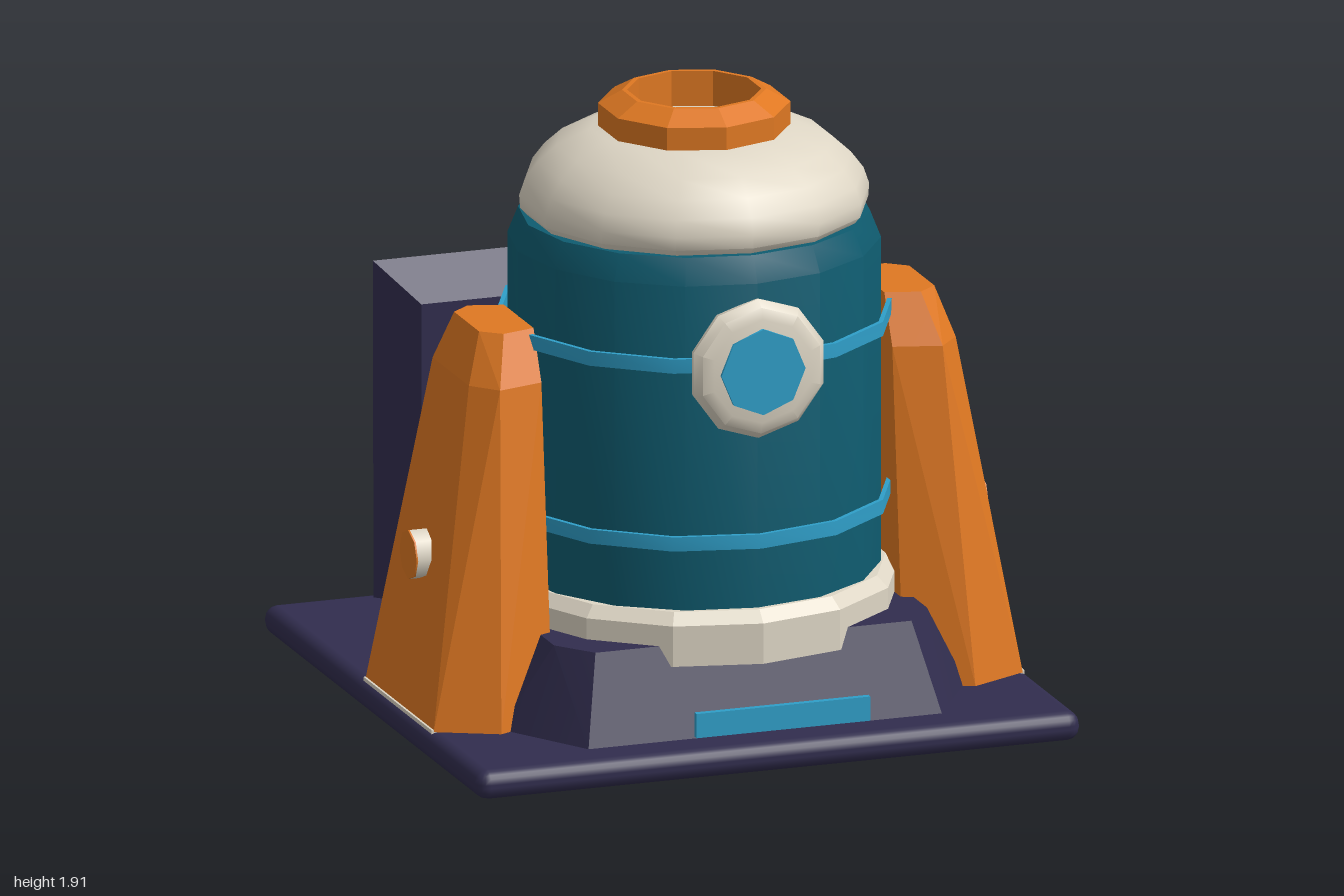
import * as THREE from 'three';
import { toCreasedNormals } from 'three/addons/utils/BufferGeometryUtils.js';
import { RoundedBoxGeometry } from 'three/addons/geometries/RoundedBoxGeometry.js';
import { ConvexGeometry } from 'three/addons/geometries/ConvexGeometry.js';

const AXIS_Z = 0.2125; // centre of the round body along z

function material(name, color) {
  const m = new THREE.MeshStandardMaterial({ color });
  m.name = name;
  return m;
}

export function createModel() {
  const model = new THREE.Group();
  model.name = 'capsuleMachine';
  const navy = material('navy', 0x312d4e);
  const orange = material('orange', 0xdf7822);
  const teal = material('teal', 0x0f5c70);
  const cream = material('cream', 0xded6c5);
  const blue = material('blue', 0x2f9fc9);

  function add(name, geometry, mat, x = 0, y = 0, z = 0, parent = model) {
    const mesh = new THREE.Mesh(geometry, mat);
    mesh.name = name;
    mesh.position.set(x, y, z);
    parent.add(mesh);
    return mesh;
  }
  // Turned part from [radius, y] pairs; crease sets which edges stay sharp
  const turned = (profile, sides, crease = 0.5) =>
    toCreasedNormals(new THREE.LatheGeometry(profile.map(p => new THREE.Vector2(...p)), sides), crease);
  // Faceted solid around a set of corner points
  const solid = (points, crease = 0.01) =>
    toCreasedNormals(new ConvexGeometry(points.map(p => new THREE.Vector3(...p))), crease);

  // Base slab and the sloping mound under the body
  add('baseSlab', new RoundedBoxGeometry(1.91, 0.09, 1.915, 2, 0.04), navy, 0, 0.045, 0.0175);
  const mound = [];
  for (const s of [-1, 1]) {
    mound.push([s * 0.56, 0.085, 0.84], [s * 0.74, 0.085, 0.55], [s * 0.74, 0.085, -0.46], [s * 0.6, 0.085, -0.64]);
    mound.push([s * 0.5, 0.355, 0.735], [s * 0.59, 0.355, 0.62], [s * 0.59, 0.355, -0.2], [s * 0.5, 0.355, -0.31]);
  }
  add('mound', solid(mound, 0.6), navy);
  add('frontPlate', new THREE.BoxGeometry(0.55, 0.075, 0.02), blue, 0, 0.178, 0.99);

  // Bevelled back panel
  const panel = [];
  for (const s of [-1, 1]) {
    for (const z of [-1, -0.77]) panel.push([s * 0.51, 0.13, z], [s * 0.51, 1.02, z]);
    panel.push([s * 0.622, 0.07, -0.885], [s * 0.622, 1.135, -0.885]);
    panel[panel.length - 2][0] = s * 0.62;
  }
  add('backPanel', solid(panel), navy);

  // Round body
  add('collar', turned([[0, 0.295], [0.61, 0.295], [0.61, 0.42], [0.575, 0.455], [0, 0.455]], 14, 0.3),
    cream, 0, 0, AXIS_Z);
  add('body', turned([[0, 0.44], [0.557, 0.44], [0.557, 1.46], [0.525, 1.54], [0, 1.54]], 16),
    teal, 0, 0, AXIS_Z);
  for (const y of [0.67, 1.222]) {
    add('bodyBand', turned([[0.58, -0.022], [0.594, -0.022], [0.594, 0.022], [0.58, 0.022], [0.58, -0.022]], 14),
      blue, 0, y, AXIS_Z);
  }
  add('dome', turned([[0, 1.53], [0.495, 1.53], [0.522, 1.56], [0.525, 1.6], [0.508, 1.65], [0.47, 1.7],
    [0.415, 1.75], [0.31, 1.8], [0, 1.803]], 14, 0.7), cream, 0, 0, AXIS_Z);
  add('topRing', turned([[0.2, 1.79], [0.287, 1.79], [0.287, 1.87], [0.215, 1.91], [0.2, 1.91], [0.2, 1.79]], 10, 0.3),
    orange, 0, 0, AXIS_Z);

  // Round window at the front
  const rim = add('windowRim', turned([[0, 0], [0.19, 0], [0.213, 0.025], [0.216, 0.045], [0.195, 0.072],
    [0.16, 0.082], [0, 0.082]], 10, 0.7), cream, 0, 1.2, 0.733);
  rim.rotation.x = Math.PI / 2;
  const glass = add('windowGlass', new THREE.CylinderGeometry(0.133, 0.133, 0.009, 8), blue, 0, 1.2, 0.8195);
  glass.rotation.x = Math.PI / 2;

  // Side legs: [y, outer x, outer half depth, widest x, half depth, inner half depth]
  const sections = [
    [0.09, 0.932, 0.3, 0.75, 0.39, 0.3],
    [1.11, 0.77, 0.16, 0.7, 0.24, 0.2],
    [1.26, 0.72, 0.11, 0.66, 0.16, 0.13],
  ];
  for (const side of [1, -1]) {
    const leg = new THREE.Group();
    leg.name = side > 0 ? 'leftLeg' : 'rightLeg';
    model.add(leg);
    const points = [];
    for (const [y, xo, zo, xw, zw, zi] of sections) {
      for (const s of [-1, 1]) {
        points.push([side * xo, y, s * zo], [side * xw, y, s * zw], [side * 0.555, y, s * zi]);
      }
    }
    add('legShell', solid(points), orange, 0, 0, AXIS_Z, leg);
    add('footPad', new THREE.BoxGeometry(0.1, 0.012, 0.6), cream, side * 0.888, 0.09, AXIS_Z, leg);
    const bolt = add('bolt', new THREE.CylinderGeometry(0.076, 0.076, 0.08, 8), cream, side * 0.86, 0.555, AXIS_Z, leg);
    const cap = add('boltCap', new THREE.CylinderGeometry(0.076, 0.076, 0.005, 8), orange, side * 0.9025, 0.555, AXIS_Z, leg);
    bolt.rotation.z = cap.rotation.z = Math.PI / 2;
  }
  return model;
}
